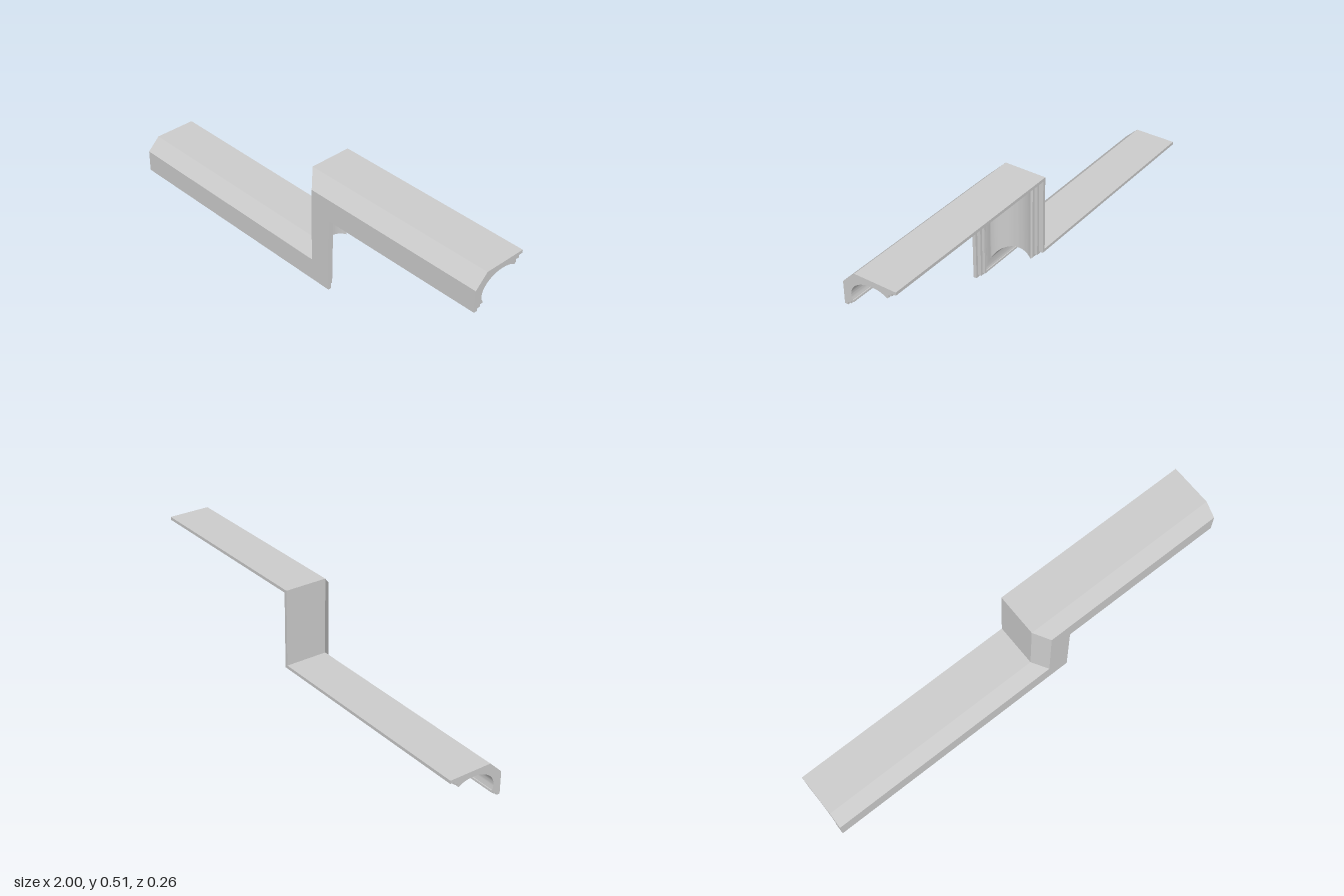
import * as THREE from 'three';
import { toCreasedNormals } from 'three/addons/utils/BufferGeometryUtils.js';

// Moulding cross-section as (z, -depth below the outer face), counter-clockwise
function mouldingProfile() {
  const pts = [
    // outer face, chamfer and front face
    [0.07, 0], [-0.127, 0],
    // stepped rear lip
    [-0.127, -0.014], [-0.107, -0.014], [-0.107, -0.026], [-0.092, -0.026], [-0.092, -0.038],
  ];
  // hollow cove
  const steps = 36, from = 2.276, to = -0.316;
  for (let i = 0; i <= steps; i++) {
    const a = from + (to - from) * i / steps;
    pts.push([-0.015 + 0.108 * Math.cos(a), -0.103 + 0.077 * Math.sin(a)]);
  }
  // stepped front lip
  pts.push([0.084, -0.127], [0.084, -0.137], [0.097, -0.137], [0.097, -0.148],
    [0.113, -0.148], [0.113, -0.16], [0.129, -0.16], [0.129, -0.058]);
  return pts.map(([z, y]) => new THREE.Vector2(z, y));
}

// Sweeps the profile along stations; dx, dy say how depth shifts each one (mitres)
function sweep(profile, stations) {
  const positions = [];
  const n = profile.length;
  const at = (s, j) => {
    const p = profile[j % n];
    return [s.x - s.dx * p.y, s.y - s.dy * p.y, p.x];
  };
  const tri = (a, b, c) => positions.push(...a, ...b, ...c);

  for (let i = 0; i < stations.length - 1; i++) {
    const s = stations[i], t = stations[i + 1];
    for (let j = 0; j < n; j++) {
      const a = at(s, j), b = at(s, j + 1), c = at(t, j + 1), d = at(t, j);
      tri(a, c, b);
      tri(a, d, c);
    }
  }
  // end caps
  const first = stations[0], last = stations[stations.length - 1];
  for (const [a, b, c] of THREE.ShapeUtils.triangulateShape(profile, [])) {
    tri(at(first, a), at(first, b), at(first, c));
    tri(at(last, a), at(last, c), at(last, b));
  }
  const geometry = new THREE.BufferGeometry();
  geometry.setAttribute('position', new THREE.Float32BufferAttribute(positions, 3));
  return toCreasedNormals(geometry, 0.4);
}

export function createModel() {
  const group = new THREE.Group();
  group.name = 'steppedMoulding';

  // low run, riser and high run, mitred at both corners
  const low = 0.16, high = 0.513, riserX = 0.06;
  const stations = [
    { x: -1, y: low, dx: 0, dy: -1 },
    { x: riserX, y: low, dx: 1, dy: -1 },
    { x: riserX, y: high, dx: 1, dy: -1 },
    { x: 1, y: high, dx: 0, dy: -1 },
  ];
  const moulding = new THREE.Mesh(
    sweep(mouldingProfile(), stations),
    new THREE.MeshStandardMaterial({ color: 0xcccccc })
  );
  moulding.name = 'moulding';
  group.add(moulding);
  return group;
}
